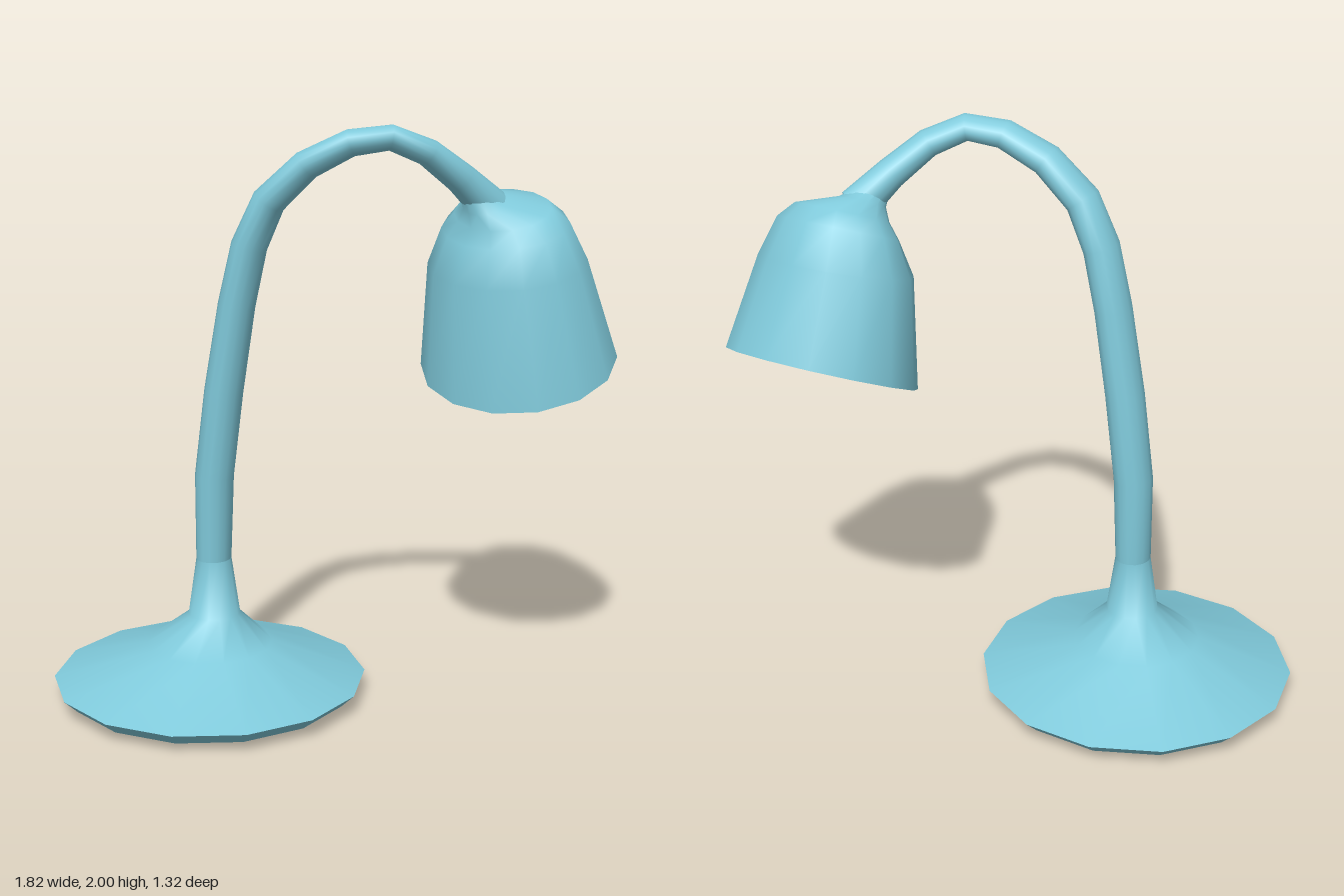
import * as THREE from 'three';

const SIDES = 14;

// Skins a list of rings (each an array of SIDES points) into a smooth surface.
function skin(rings) {
  const pos = rings.flat().flatMap(p => [p.x, p.y, p.z]);
  const index = [];
  for (let r = 0; r < rings.length - 1; r++) {
    for (let i = 0; i < SIDES; i++) {
      const a = r * SIDES + i, b = r * SIDES + (i + 1) % SIDES;
      index.push(a, a + SIDES, b, b, a + SIDES, b + SIDES);
    }
  }
  const g = new THREE.BufferGeometry();
  g.setAttribute('position', new THREE.Float32BufferAttribute(pos, 3));
  g.setIndex(index);
  g.computeVertexNormals();
  return g;
}

// Elliptical ring: centre, half width in x, half depth in z, drop towards the front.
function ring([x, y, z, rx, rz, drop = 0], offset = 0) {
  return Array.from({ length: SIDES }, (_, i) => {
    const a = offset + i / SIDES * Math.PI * 2, s = Math.sin(a);
    return new THREE.Vector3(x + rx * Math.cos(a), y - drop * s, z + rz * s);
  });
}

export function createModel() {
  const model = new THREE.Group();
  const paint = new THREE.MeshStandardMaterial({ color: 0x80cadb });
  paint.name = 'light blue paint';
  paint.side = THREE.DoubleSide;
  const add = (name, rings, parent = model) => {
    const m = new THREE.Mesh(skin(rings), paint);
    m.name = name;
    parent.add(m);
  };

  // Base: flat underside, chamfered edge, and a cone flaring up into the stem
  const base = new THREE.Group();
  base.name = 'base';
  model.add(base);
  const foot = (y, r) => ring([-0.37, y, 0.127, r, r]);
  add('underside', [foot(0, 0), foot(0.025, 0.5)], base);
  add('baseEdge', [foot(0.025, 0.5), foot(0.07, 0.547)], base);
  add('baseTop', [
    foot(0.07, 0.547), foot(0.19, 0.22),
    ring([-0.352, 0.3, 0.122, 0.09, 0.09]),
    ring([-0.352, 0.5, 0.12, 0.06, 0.065]),
  ], base);

  // Arm: bent stem with a slightly flattened section, [x, y, z, in-plane radius, side radius]
  const path = [
    [-0.352, 0.5, 0.12, 0.06, 0.065], [-0.345, 0.8, 0.12, 0.065, 0.074],
    [-0.305, 1.1, 0.12, 0.064, 0.076], [-0.253, 1.4, 0.12, 0.06, 0.076],
    [-0.205, 1.6, 0.12, 0.058, 0.074], [-0.135, 1.75, 0.115, 0.055, 0.07],
    [-0.01, 1.87, 0.095, 0.05, 0.065], [0.13, 1.943, 0.06, 0.045, 0.06],
    [0.25, 1.96, 0.015, 0.042, 0.057], [0.35, 1.91, -0.06, 0.045, 0.055],
    [0.43, 1.82, -0.16, 0.052, 0.055], [0.5, 1.72, -0.26, 0.065, 0.065],
  ];
  const at = i => new THREE.Vector3(...path[Math.min(Math.max(i, 0), path.length - 1)].slice(0, 3));
  const turn = new THREE.Quaternion();
  let before = new THREE.Vector3(0, 1, 0);
  add('arm', path.map(([, , , ra, rb], i) => {
    const along = i ? at(i + 1).sub(at(i - 1)).normalize() : before.clone();
    turn.premultiply(new THREE.Quaternion().setFromUnitVectors(before, along));
    before = along;
    return ring([0, 0, 0, ra, rb]).map(p => p.applyQuaternion(turn).add(at(i)));
  }));

  // Shade: tilted hollow bell with a thin lip
  const shade = new THREE.Group();
  shade.name = 'shade';
  model.add(shade);
  const bell = p => ring(p, Math.PI * 1.5);
  const rim = [0.575, 1.178, -0.383, 0.34, 0.278, 0.125];
  const innerRim = [0.575, 1.185, -0.382, 0.3, 0.245, 0.11];
  add('shadeOuter', [
    rim,
    [0.545, 1.53, -0.322, 0.272, 0.222, 0.065],
    [0.54, 1.655, -0.308, 0.218, 0.16, 0.065],
    [0.535, 1.705, -0.29, 0.165, 0.13, 0.055],
    [0.488, 1.735, -0.24, 0.075, 0.075, 0.035],
    [0.46, 1.775, -0.2, 0.045, 0.04, 0.02],
  ].map(bell), shade);
  add('shadeLip', [innerRim, rim].map(bell), shade);
  add('shadeInner', [
    [0.54, 1.64, -0.305, 0, 0, 0],
    [0.54, 1.62, -0.31, 0.17, 0.125, 0.05],
    [0.545, 1.51, -0.325, 0.235, 0.19, 0.06],
    innerRim,
  ].map(bell), shade);

  return model;
}
